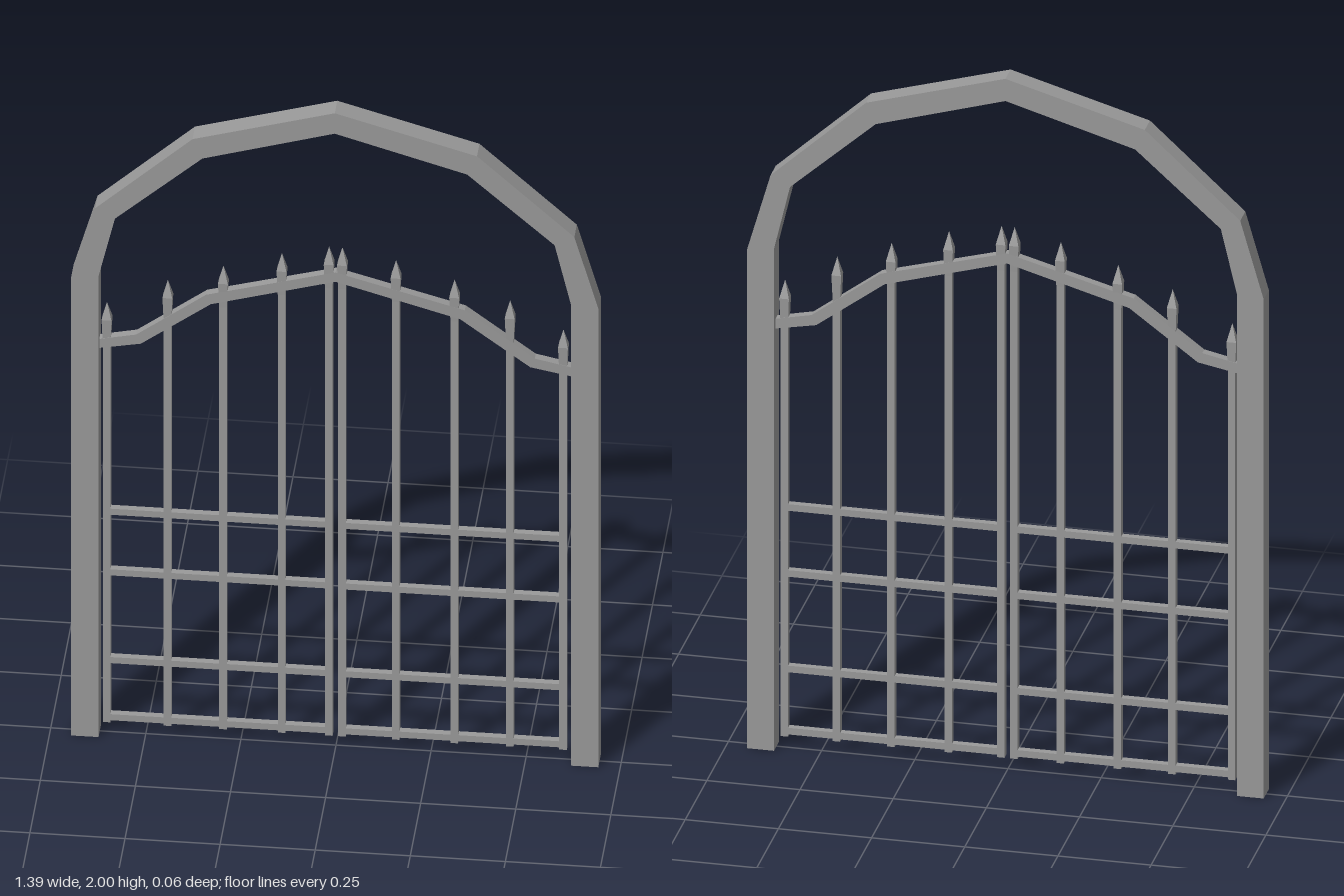
import * as THREE from 'three';

const material = new THREE.MeshStandardMaterial({ color: 0x999999, flatShading: true, side: THREE.DoubleSide });

function add(parent, geometry, name, x = 0, y = 0) {
  const mesh = new THREE.Mesh(geometry, material);
  mesh.name = name;
  mesh.position.set(x, y, 0);
  parent.add(mesh);
}

// Rectangular tube with open ends, running between an outer and an inner line
function openTube(outer, inner, depth) {
  const positions = [], index = [], d = depth / 2;
  outer.forEach(([ox, oy], i) => {
    const [ix, iy] = inner[i];
    positions.push(ox, oy, d, ox, oy, -d, ix, iy, -d, ix, iy, d);
    if (i === 0) return;
    for (let k = 0; k < 4; k++) {
      const a = (i - 1) * 4 + k, b = (i - 1) * 4 + (k + 1) % 4;
      index.push(a, b, b + 4, a, b + 4, a + 4);
    }
  });
  const indexed = new THREE.BufferGeometry();
  indexed.setAttribute('position', new THREE.Float32BufferAttribute(positions, 3));
  indexed.setIndex(index);
  const geometry = indexed.toNonIndexed();
  geometry.computeVertexNormals();
  return geometry;
}

const mirrored = (pts) => pts.map(([x, y]) => [-x, y]).reverse();

// Square spear tip: swells from the bar, then narrows to a point
function spearTip() {
  const profile = [[0.01, 0], [0.013, 0.075], [0, 0.125]]
    .map(([half, y]) => new THREE.Vector2(half * Math.SQRT2, y));
  const geometry = new THREE.LatheGeometry(profile, 4).rotateY(Math.PI / 4).toNonIndexed();
  geometry.computeVertexNormals();
  return geometry;
}

// One gate leaf; the bars are listed as [x, top]
function createLeaf(name, side, bars) {
  const leaf = new THREE.Group();
  leaf.name = name;

  // Square upright bars with spear tips
  const bottom = 0.035;
  for (const [x, top] of bars) {
    const height = top - 0.125 - bottom;
    add(leaf, new THREE.BoxGeometry(0.02, height, 0.02), 'uprightBar', x, bottom + height / 2);
    add(leaf, spearTip(), 'spearTip', x, top - 0.125);
  }

  // Horizontal rails
  for (const y of [0.051, 0.23, 0.505, 0.695]) {
    add(leaf, new THREE.BoxGeometry(0.585, 0.019, 0.019), 'crossRail', side * 0.31, y);
  }

  // Bent top rail, from the post to the middle
  const upper = [[0.626, 1.235], [0.524, 1.257], [0.34, 1.395], [0, 1.489]];
  const lower = [[0.626, 1.207], [0.512, 1.229], [0.328, 1.366], [0, 1.46]];
  const rail = side > 0
    ? openTube(upper, lower, 0.024)
    : openTube(mirrored(upper), mirrored(lower), 0.024);
  add(leaf, rail, 'topRail');
  return leaf;
}

export function createModel() {
  const gate = new THREE.Group();
  gate.name = 'archedGate';

  // Posts and faceted arch as one continuous hollow frame
  const outer = [[0.693, 0], [0.693, 1.437], [0.63, 1.657], [0.374, 1.892]];
  const inner = [[0.621, 0], [0.621, 1.445], [0.578, 1.628], [0.348, 1.833]];
  add(gate, openTube(
    [...outer, [0, 2], ...mirrored(outer)],
    [...inner, [0, 1.936], ...mirrored(inner)],
    0.06,
  ), 'archFrame');

  gate.add(
    createLeaf('leftLeaf', 1, [[0.017, 1.562], [0.158, 1.532], [0.312, 1.482], [0.458, 1.427], [0.598, 1.346]]),
    createLeaf('rightLeaf', -1, [[-0.018, 1.562], [-0.142, 1.532], [-0.296, 1.482], [-0.442, 1.427], [-0.602, 1.346]]),
  );
  return gate;
}
